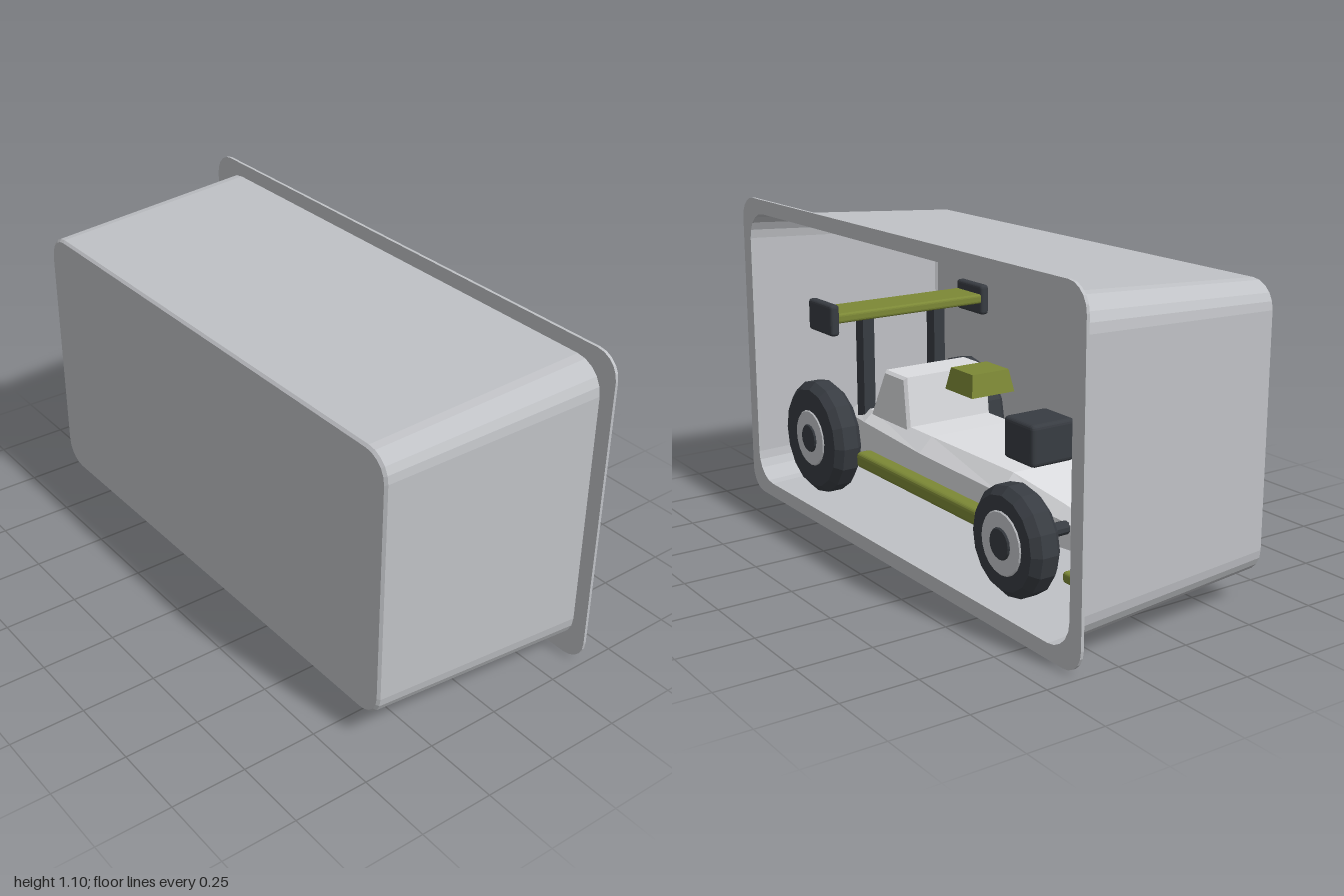
import * as THREE from 'three';
import { RoundedBoxGeometry } from 'three/addons/geometries/RoundedBoxGeometry.js';

const mat = (name, color, extra = {}) => Object.assign(new THREE.MeshStandardMaterial({ color, ...extra }), { name });

// Flat-faced skin through matching rings of [x, y, z] points, with optional end caps
function loft(rings, capStart, capEnd) {
  const p = [], n = rings[0].length;
  for (let k = 0; k + 1 < rings.length; k++) {
    const a = rings[k], b = rings[k + 1];
    for (let i = 0; i < n; i++) {
      const j = (i + 1) % n;
      p.push(...a[i], ...a[j], ...b[j], ...a[i], ...b[j], ...b[i]);
    }
  }
  const s = rings[0], e = rings[rings.length - 1];
  for (let i = 1; i + 1 < n; i++) {
    if (capStart) p.push(...s[0], ...s[i + 1], ...s[i]);
    if (capEnd) p.push(...e[0], ...e[i], ...e[i + 1]);
  }
  const g = new THREE.BufferGeometry();
  g.setAttribute('position', new THREE.Float32BufferAttribute(p, 3));
  g.computeVertexNormals();
  return g;
}

// Rounded rectangle points, counter-clockwise, centred on the origin
function roundedRect(hw, hh, r, seg = 5) {
  const pts = [];
  [[1, 1], [-1, 1], [-1, -1], [1, -1]].forEach(([sx, sy], c) => {
    for (let i = 0; i <= seg; i++) {
      const a = (c + i / seg) * Math.PI / 2;
      pts.push(new THREE.Vector2(sx * (hw - r) + r * Math.cos(a), sy * (hh - r) + r * Math.sin(a)));
    }
  });
  return pts;
}

// Box whose top face is scaled down
function taperedBox(w, h, d, sx, sz) {
  const g = new THREE.BoxGeometry(w, h, d).toNonIndexed();
  const p = g.attributes.position;
  for (let i = 0; i < p.count; i++) {
    if (p.getY(i) > 0) p.setXYZ(i, p.getX(i) * sx, p.getY(i), p.getZ(i) * sz);
  }
  g.computeVertexNormals();
  return g;
}

export function createModel() {
  const trayGrey = mat('trayGrey', 0xc0c2c6, { side: THREE.DoubleSide });
  const bodyWhite = mat('bodyWhite', 0xdcdde0);
  const rimGrey = mat('rimGrey', 0xc4c6ca, { flatShading: true });
  const dark = mat('darkGrey', 0x383c42, { flatShading: true });
  const olive = mat('olive', 0x7c8836, { flatShading: true });

  const model = new THREE.Group();
  const car = new THREE.Group();
  car.name = 'raceCar';
  model.add(car);

  const add = (name, geo, material, x = 0, y = 0, z = 0, parent = car) => {
    const m = new THREE.Mesh(geo, material);
    m.name = name;
    m.position.set(x, y, z);
    parent.add(m);
    return m;
  };

  // Tray: tapering walls, closed at the front, open at the back
  const midY = 0.551;
  const trayRings = [
    [-0.38, 0.948, 0.502, 0.1],
    [0.377, 0.908, 0.457, 0.085],
    [0.385, 0.9, 0.449, 0.08],
  ].map(([z, hw, hh, r]) => roundedRect(hw, hh, r).map(v => [v.x, v.y, z]));
  add('trayShell', loft(trayRings, false, true), trayGrey, 0, midY, 0, model);

  // Flat rim around the opening
  const rim = new THREE.Shape(roundedRect(1, 0.551, 0.08));
  rim.holes.push(new THREE.Path(roundedRect(0.947, 0.501, 0.1).reverse()));
  add('trayFlange', new THREE.ExtrudeGeometry(rim, { depth: 0.01, bevelEnabled: false }),
    trayGrey, 0, midY, -0.385, model);

  // Car body: [x, half width, top half width, bottom, shoulder, top], nose towards -x
  const section = ([x, hw, ht, yb, ys, yt]) =>
    [[x, yb, -hw], [x, ys, -hw], [x, yt, -ht], [x, yt, ht], [x, ys, hw], [x, yb, hw]];
  add('body', loft([
    [-0.82, 0.07, 0.05, 0.19, 0.23, 0.25],
    [-0.55, 0.13, 0.1, 0.19, 0.28, 0.32],
    [-0.34, 0.19, 0.14, 0.2, 0.31, 0.37],
    [0.1, 0.21, 0.16, 0.2, 0.33, 0.38],
    [0.48, 0.2, 0.16, 0.2, 0.345, 0.38],
    [0.66, 0.16, 0.12, 0.22, 0.33, 0.36],
  ].map(section), true, true), bodyWhite);

  // Engine cover: trapezoid profile run across the car
  const cover = new THREE.Shape([[0.24, 0.36], [0.48, 0.36], [0.38, 0.54], [0.26, 0.54]]
    .map(([x, y]) => new THREE.Vector2(x, y)));
  add('engineCover', new THREE.ExtrudeGeometry(cover,
    { depth: 0.32, bevelThickness: 0.01, bevelSize: 0.01, bevelSegments: 1 }), bodyWhite, 0, 0, -0.16);

  // Blocks on the centre line
  add('headrest', taperedBox(0.16, 0.075, 0.17, 0.8, 0.85), olive, 0.05, 0.565, 0);
  add('frontBlock', new RoundedBoxGeometry(0.16, 0.14, 0.17, 2, 0.015), dark, -0.285, 0.445, 0);
  add('noseTip', new RoundedBoxGeometry(0.16, 0.08, 0.2, 2, 0.02), dark, -0.8, 0.23, 0);

  // Front and rear wings
  add('frontWing', new RoundedBoxGeometry(0.11, 0.035, 0.5, 2, 0.01), olive, -0.79, 0.18, 0);
  add('rearWing', new RoundedBoxGeometry(0.16, 0.035, 0.6, 2, 0.01), olive, 0.55, 0.73, 0);

  // Wheel parts share one turned profile, axis along z
  const turned = (r, hw, bevel, sides) => new THREE.LatheGeometry([
    [0, -hw], [r - bevel, -hw], [r, -hw + bevel], [r, hw - bevel], [r - bevel, hw], [0, hw],
  ].map(([a, b]) => new THREE.Vector2(a, b)), sides).rotateX(Math.PI / 2);

  const wheel = (name, x, y, r, side) => {
    const g = new THREE.Group();
    g.name = name;
    g.position.set(x, y, side * 0.305);
    add('tyre', turned(r, 0.052, 0.025, 16), dark, 0, 0, 0, g);
    add('wheelRim', turned(0.1, 0.056, 0.004, 20), rimGrey, 0, 0, 0, g);
    add('hub', turned(0.05, 0.062, 0.004, 16), dark, 0, 0, 0, g);
    car.add(g);
  };

  // Mirrored parts
  for (const side of [-1, 1]) {
    wheel('rearWheel', 0.588, 0.287, 0.2, side);
    wheel('frontWheel', -0.582, 0.258, 0.172, side);
    add('sideBar', new RoundedBoxGeometry(0.74, 0.055, 0.06, 2, 0.015), olive, 0, 0.255, side * 0.27);
    add('wingPost', new THREE.BoxGeometry(0.05, 0.4, 0.045), dark, 0.55, 0.52, side * 0.148);
    add('wingEndPlate', new RoundedBoxGeometry(0.165, 0.11, 0.035, 2, 0.012), dark, 0.55, 0.725, side * 0.31);
    add('exhaust', new THREE.CylinderGeometry(0.03, 0.03, 0.16, 12).rotateZ(Math.PI / 2), dark, 0.67, 0.29, side * 0.12);
  }

  // Axles
  for (const [x, y] of [[0.588, 0.287], [-0.582, 0.258]]) {
    add('axle', new THREE.CylinderGeometry(0.022, 0.022, 0.56, 10).rotateX(Math.PI / 2), dark, x, y, 0);
  }
  return model;
}
